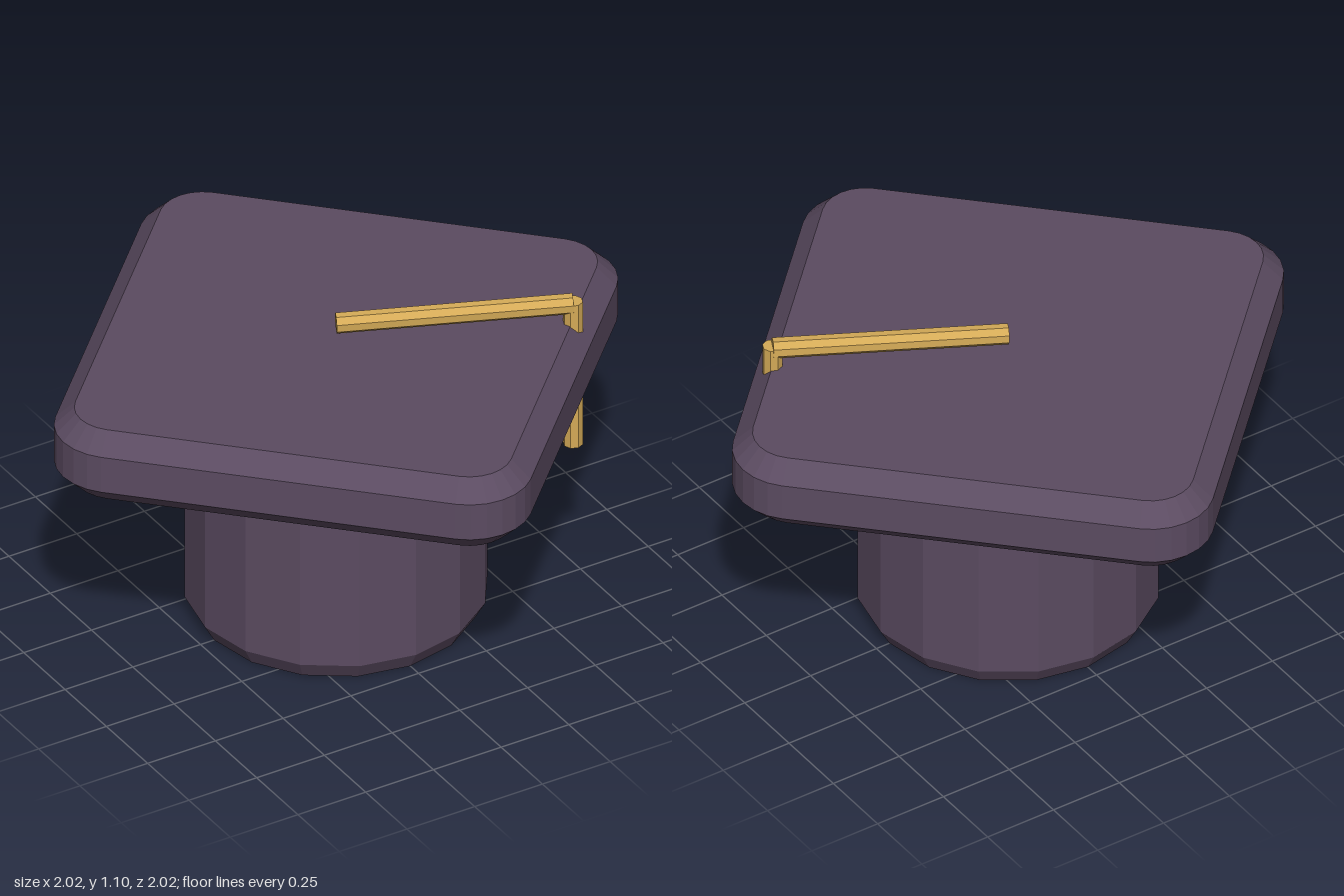
import * as THREE from 'three';

const cloth = new THREE.MeshStandardMaterial({ color: 0x5b4b61, flatShading: true });
cloth.name = 'plum cloth';
const gold = new THREE.MeshStandardMaterial({ color: 0xd4aa57, flatShading: true });
gold.name = 'gold cord';

function addMesh(group, name, geometry, material) {
  const mesh = new THREE.Mesh(geometry, material);
  mesh.name = name;
  group.add(mesh);
  return mesh;
}

// Eight-sided rod between two points
function addRod(group, name, from, to, radius) {
  const dir = to.clone().sub(from);
  const rod = addMesh(group, name, new THREE.CylinderGeometry(radius, radius, dir.length(), 8), gold);
  rod.position.copy(from).add(to).multiplyScalar(0.5);
  rod.quaternion.setFromUnitVectors(new THREE.Vector3(0, 1, 0), dir.normalize());
}

export function createModel() {
  const group = new THREE.Group();
  group.name = 'graduationCap';

  // Cap: sixteen-sided drum with chamfered rims
  const profile = [[0, 0], [0.45, 0], [0.484, 0.06], [0.484, 0.667], [0.44, 0.75], [0, 0.75]]
    .map(([r, y]) => new THREE.Vector2(r, y));
  addMesh(group, 'cap', new THREE.LatheGeometry(profile, 16), cloth);

  // Board: square set on its corner, with rounded corners and a bevelled edge
  const bevel = 0.064, cornerRadius = 0.2 - bevel, cornerCentre = 0.807;
  const outline = new THREE.Shape();
  for (let i = 0; i < 4; i++) {
    const a = i * Math.PI / 2;
    outline.absarc(Math.cos(a) * cornerCentre, Math.sin(a) * cornerCentre,
      cornerRadius, a - Math.PI / 4, a + Math.PI / 4, false);
  }
  const board = new THREE.ExtrudeGeometry(outline, {
    depth: 0.131, curveSegments: 3, bevelEnabled: true,
    bevelSize: bevel, bevelThickness: bevel, bevelSegments: 1
  });
  board.rotateX(-Math.PI / 2);
  board.translate(0, 0.738 + bevel, 0);
  addMesh(group, 'board', board, cloth);

  // Tassel: cord across the board, then hanging over the edge
  addRod(group, 'tasselCord', new THREE.Vector3(0, 1.039, 0), new THREE.Vector3(0.676, 1.065, 0.326), 0.034);
  addRod(group, 'tasselDrop', new THREE.Vector3(0.676, 1.075, 0.326), new THREE.Vector3(0.676, 0.54, 0.326), 0.032);

  return group;
}
